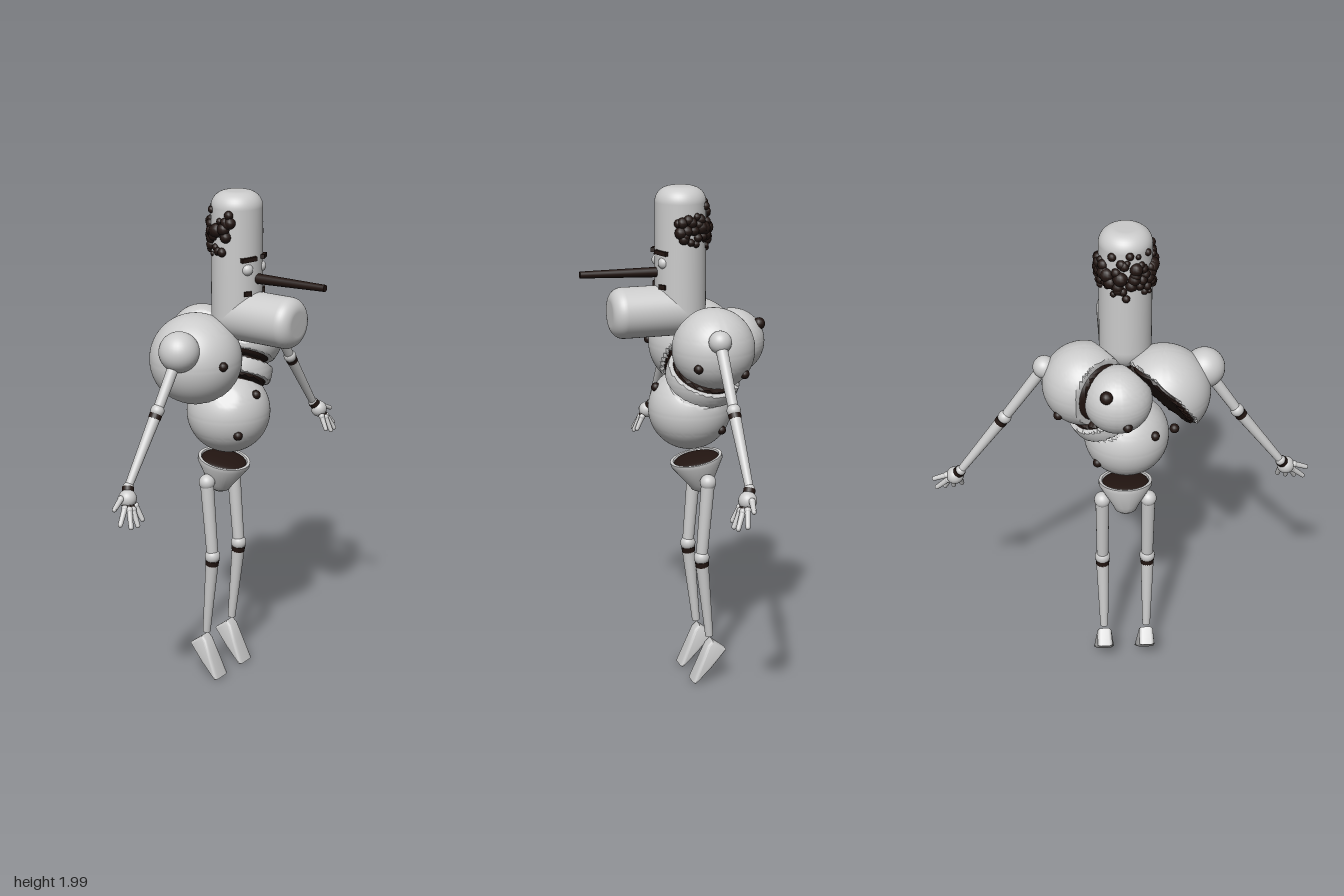
import * as THREE from 'three';
import { toCreasedNormals } from 'three/addons/utils/BufferGeometryUtils.js';

const grey = new THREE.MeshStandardMaterial({ color: 0xcccccc });
const dark = new THREE.MeshStandardMaterial({ color: 0x221511 });
const V = (x, y, z) => new THREE.Vector3(x, y, z);

export function createModel() {
  const root = new THREE.Group();
  const add = (name, geo, mat = grey, pos = V(0, 0, 0), parent = root) => {
    const mesh = new THREE.Mesh(geo, mat);
    mesh.name = name;
    mesh.position.copy(pos);
    parent.add(mesh);
    return mesh;
  };
  const ball = (name, p, r, mat = grey, parent = root, seg = 24) =>
    add(name, new THREE.SphereGeometry(r, seg, Math.round(seg * 0.7)), mat, p, parent);
  // tapered rod between two points
  const rod = (name, a, b, ra, rb, mat = grey, parent = root) => {
    const d = b.clone().sub(a);
    const m = add(name, new THREE.CylinderGeometry(rb, ra, d.length(), 20), mat, a.clone().add(b).multiplyScalar(0.5), parent);
    m.quaternion.setFromUnitVectors(V(0, 1, 0), d.normalize());
    return m;
  };

  // ---- torso: spheres clipped by half spaces { n, d } with n.p <= d, dark cores in the gaps
  const clipped = (c, r, planes, seg, inflate) => {
    const g = new THREE.SphereGeometry(r, seg, Math.round(seg * 0.66));
    const p = g.attributes.position, v = V(0, 0, 0);
    for (let i = 0; i < p.count; i++) {
      v.fromBufferAttribute(p, i).normalize();
      let len = r;
      for (const { n, d } of planes) {
        const slope = n.dot(v);
        if (slope > 1e-5) len = Math.min(len, (d + inflate - n.dot(c)) / slope);
      }
      v.multiplyScalar(len);
      p.setXYZ(i, v.x, v.y, v.z);
    }
    g.deleteAttribute('normal');
    g.computeVertexNormals();
    return toCreasedNormals(g, 0.5);
  };
  const piece = (name, c, r, planes) => {
    add(name, clipped(c, r, planes, 80, 0), grey, c);
    add(name + 'Core', clipped(c, r - 0.016, planes, 48, 0.012), dark, c);
  };
  const plane = (n, through, shift) => {
    n = n.clone().normalize();
    return { n, d: n.dot(through) + shift };
  };
  const nM = V(-0.675, 0.571, 0.467), pM = V(0, 1.394, 0);
  const nA = V(0.48, 0.86, -0.15), pA = V(0, 1.394, 0);
  const nL = V(0.67, 0, 0.74), pL = V(0.082, 1.4, -0.198);
  const neg = (n) => n.clone().negate();
  const belowM = plane(nM, pM, -0.011);

  const cRight = V(-0.155, 1.365, -0.13), cLeft = V(0.138, 1.4, -0.117);
  const cBack = V(0.02, 1.4, -0.23), cBelly = V(-0.021, 1.134, -0.074);
  piece('rightChest', cRight, 0.177, [plane(neg(nM), pM, -0.011)]);
  piece('leftChest', cLeft, 0.158, [belowM, plane(neg(nA), pA, -0.004), plane(neg(nL), pL, -0.01)]);
  piece('upperBack', cBack, 0.127, [belowM, plane(nL, pL, -0.01)]);
  piece('waistSlice', V(0.063, 1.278, -0.1), 0.145, [belowM, plane(nA, pA, -0.03), plane(neg(nA), pA, 0.09)]);
  piece('belly', cBelly, 0.163, [belowM, plane(nA, pA, -0.115)]);

  // studs set into the torso surfaces
  const studs = [
    [cRight, 0.177, -0.055, 0.01, 0.17], [cRight, 0.177, -0.03, -0.06, -0.17],
    [cLeft, 0.158, 0.118, -0.045, 0.097], [cLeft, 0.158, 0.1, -0.08, -0.09],
    [cBack, 0.127, 0.045, 0.07, -0.095], [cBack, 0.127, -0.03, -0.05, -0.11],
    [cBelly, 0.163, -0.008, 0.09, 0.136], [cBelly, 0.163, -0.1, -0.055, 0.116],
    [cBelly, 0.163, 0.115, -0.069, -0.093], [cBelly, 0.163, -0.1, 0.06, -0.11],
  ];
  for (const [c, r, x, y, z] of studs) {
    ball('stud', V(x, y, z).setLength(r).add(c), c === cBack && y > 0 ? 0.024 : 0.018, dark, root, 14);
  }

  // ---- head and jaw: round-ended cylinders meeting in a ball
  const pill = (r, len, f) => {
    const pts = [new THREE.Vector2(r, 0)];
    for (let i = 0; i <= 10; i++) {
      const a = (i / 10) * Math.PI / 2;
      pts.push(new THREE.Vector2(Math.max(r - f + f * Math.cos(a), 1e-4), len - f + f * Math.sin(a)));
    }
    pts.push(new THREE.Vector2(1e-4, len));
    return new THREE.LatheGeometry(pts, 48);
  };
  const neck = V(-0.018, 1.527, -0.034), R = 0.098;
  add('head', pill(R, 0.473, 0.06), grey, neck);
  add('jaw', pill(R, 0.28, 0.05), grey, neck).rotation.x = Math.PI / 2;
  ball('headBend', neck, R, grey, root, 40);

  // face
  rod('nose', V(-0.018, 1.677, 0.05), V(-0.018, 1.682, 0.36), 0.02, 0.013, dark);
  for (const s of [-1, 1]) {
    const x = -0.02 + s * 0.042;
    ball('eye', V(x, 1.717, 0.043), 0.023);
    const brow = add('eyebrow', new THREE.BoxGeometry(0.062, 0.016, 0.03), dark, V(x + s * 0.002, 1.757, 0.05));
    brow.rotation.set(0, s * 0.45, -s * 0.06);
    const mark = add('mouthCorner', new THREE.BoxGeometry(0.03, 0.018, 0.016), dark, V(-0.018 + s * 0.05, 1.627, 0.05));
    mark.rotation.y = s * 0.55;
  }

  // curls around the sides and back
  let seed = 7;
  const rand = () => (seed = (seed * 16807) % 2147483647) / 2147483647;
  const curls = new THREE.Group();
  curls.name = 'hairCurls';
  root.add(curls);
  for (let i = 0; i < 70; i++) {
    const a = Math.PI * (-0.12 + 1.24 * ((i + rand()) / 70));
    const off = (rand() + rand() - 1) * 0.1;
    const r = (0.03 - Math.abs(off) * 0.17) * (0.55 + 0.45 * rand());
    ball('curl', V(neck.x + Math.cos(a) * R, 1.85 + off, neck.z - Math.sin(a) * R), r, dark, curls, 12);
  }

  // ---- pelvis bowl, tipped forward
  const pelvis = new THREE.Group();
  pelvis.name = 'pelvis';
  pelvis.position.set(-0.016, 0.925, -0.1);
  pelvis.rotation.x = 0.2;
  root.add(pelvis);
  const bowl = [[0.001, -0.137], [0.025, -0.134], [0.042, -0.122], [0.052, -0.1], [0.104, -0.012], [0.104, 0.004], [0.092, 0.004], [0.085, -0.015]];
  const bowlGeo = toCreasedNormals(new THREE.LatheGeometry(bowl.map(([x, y]) => new THREE.Vector2(x, y)), 40), 0.6);
  const bowlMat = new THREE.MeshStandardMaterial({ color: 0xcccccc, side: THREE.DoubleSide });
  add('pelvisBowl', bowlGeo, bowlMat, V(0, 0, 0), pelvis);
  const fill = ball('pelvisFilling', V(0, -0.005, 0), 0.09, dark, pelvis, 32);
  fill.scale.y = 0.2;

  // ---- legs and feet
  const footOutline = [[-0.14, 0.186], [-0.198, 0.14], [-0.135, 0.07], [-0.066, 0.008], [-0.056, 0.014], [-0.093, 0.103], [-0.12, 0.167]];
  const makeFoot = () => {
    const shape = new THREE.Shape(footOutline.map(([z, y]) => new THREE.Vector2(-z, y)));
    const g = new THREE.ExtrudeGeometry(shape, {
      depth: 0.04, bevelEnabled: true, bevelThickness: 0.015, bevelSize: 0.01, bevelOffset: -0.01, bevelSegments: 3,
    });
    g.translate(0, 0, -0.02);
    g.rotateY(Math.PI / 2);
    // widen toward the toes
    const p = g.attributes.position;
    for (let i = 0; i < p.count; i++) p.setX(i, p.getX(i) * (1.25 - p.getY(i) * 2.6));
    g.computeVertexNormals();
    return toCreasedNormals(g, 0.6);
  };
  for (const s of [-1, 1]) {
    const leg = new THREE.Group();
    leg.name = s > 0 ? 'leftLeg' : 'rightLeg';
    root.add(leg);
    const x = -0.015 + s * 0.09;
    const hip = V(x, 0.85, -0.12), knee = V(x, 0.54, -0.095), ankle = V(x - s * 0.003, 0.2, -0.13);
    ball('hipJoint', hip, 0.032, grey, leg);
    rod('thigh', hip, knee, 0.027, 0.023, grey, leg);
    ball('knee', knee, 0.031, grey, leg);
    rod('kneeBand', V(x, 0.524, -0.096), V(x, 0.502, -0.098), 0.028, 0.026, dark, leg);
    rod('shin', V(x, 0.505, -0.098), ankle, 0.026, 0.016, grey, leg);
    const foot = add('foot', makeFoot(), grey, V(x - s * 0.004, 0, 0), leg);
    foot.position.z = 0.002;
  }

  // ---- arms and hands
  for (const s of [-1, 1]) {
    const arm = new THREE.Group();
    arm.name = s > 0 ? 'leftArm' : 'rightArm';
    root.add(arm);
    const shoulder = s > 0 ? V(0.285, 1.46, -0.094) : V(-0.31, 1.435, -0.09);
    const elbow = V(s * 0.44, 1.24, -0.095), wrist = V(s * 0.62, 0.995, -0.095);
    ball('shoulder', shoulder, s > 0 ? 0.043 : 0.077, grey, arm, 32);
    rod('upperArm', shoulder, elbow, 0.023, 0.019, grey, arm);
    ball('elbow', elbow, 0.026, grey, arm);
    const along = (t) => elbow.clone().lerp(wrist, t);
    rod('elbowBand', along(0.05), along(0.11), 0.024, 0.023, dark, arm);
    rod('forearm', along(0.1), wrist, 0.022, 0.015, grey, arm);
    ball('wrist', wrist, 0.02, grey, arm);
    const palm = V(s * 0.643, 0.962, -0.08);
    rod('wristBand', wrist, palm, 0.022, 0.022, dark, arm);
    ball('palm', palm, 0.034, grey, arm);
    // knuckle and tip of each finger, thumb last
    const fingers = [
      [0.672, 0.935, -0.07, 0.718, 0.888, -0.055], [0.664, 0.93, -0.055, 0.688, 0.874, -0.03],
      [0.65, 0.928, -0.05, 0.655, 0.872, -0.025], [0.628, 0.935, -0.055, 0.622, 0.885, -0.03],
      [0.675, 0.968, -0.085, 0.725, 0.945, -0.075],
    ];
    for (const [kx, ky, kz, tx, ty, tz] of fingers) {
      const k = V(s * kx, ky, kz), t = V(s * tx, ty, tz);
      rod('fingerBase', palm, k, 0.011, 0.011, dark, arm);
      ball('knuckle', k, 0.013, grey, arm, 14);
      rod('finger', k, t, 0.011, 0.009, grey, arm);
      ball('fingertip', t, 0.009, grey, arm, 12);
    }
  }
  return root;
}
